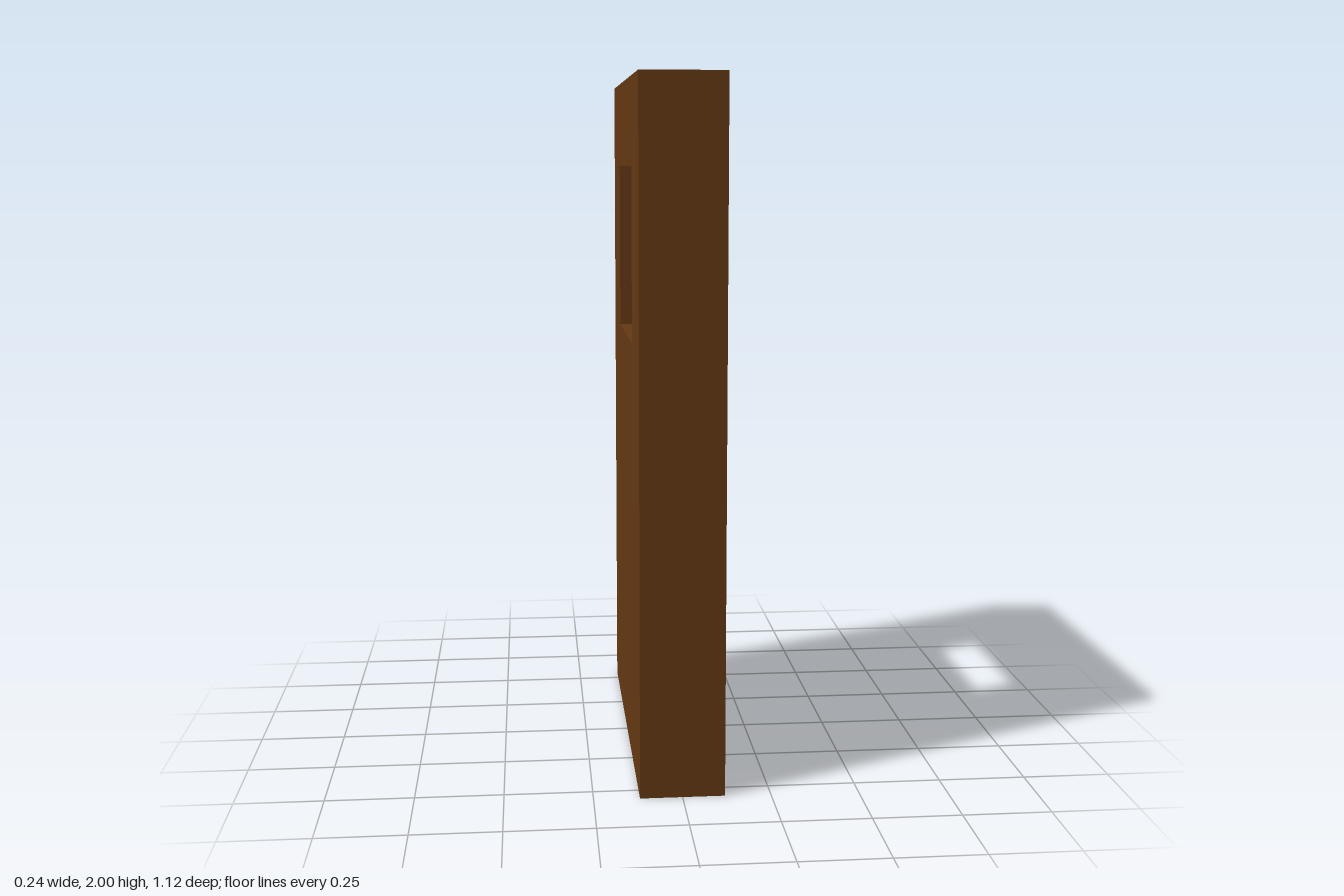
import * as THREE from 'three';

const WIDTH = 1.12, HEIGHT = 2, DEPTH = 0.24;
const WINDOW = { width: 0.56, bottom: 1.25, top: 1.75 };

// Closed rectangle centred on x = 0
function rectangle(PathType, width, bottom, top) {
  const w = width / 2;
  return new PathType([
    new THREE.Vector2(-w, bottom),
    new THREE.Vector2(w, bottom),
    new THREE.Vector2(w, top),
    new THREE.Vector2(-w, top),
  ]);
}

export function createModel() {
  const group = new THREE.Group();
  group.name = 'door';

  // Solid slab with a rectangular window opening
  const outline = rectangle(THREE.Shape, WIDTH, 0, HEIGHT);
  outline.holes.push(rectangle(THREE.Path, WINDOW.width, WINDOW.bottom, WINDOW.top));
  const geometry = new THREE.ExtrudeGeometry(outline, { depth: DEPTH, bevelEnabled: false });

  // Centre the thickness and turn the broad faces towards +x and -x
  geometry.translate(0, 0, -DEPTH / 2);
  geometry.rotateY(Math.PI / 2);

  const panel = new THREE.Mesh(geometry, new THREE.MeshStandardMaterial({ color: 0x663a14 }));
  panel.name = 'doorPanel';
  group.add(panel);
  return group;
}
